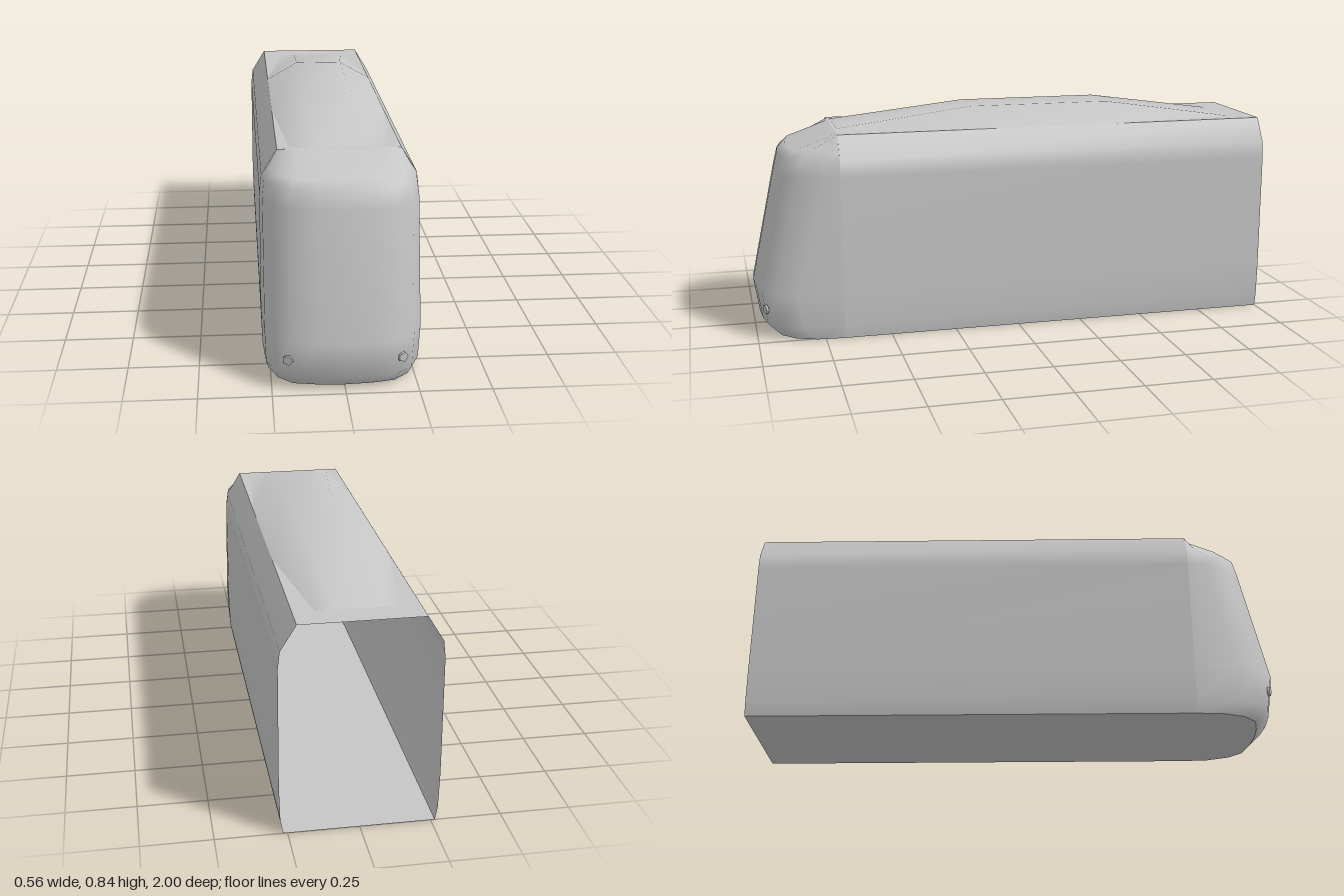
import * as THREE from 'three';

const grey = new THREE.MeshStandardMaterial({ color: 0xc6c6c6, side: THREE.DoubleSide });
grey.name = 'plain grey';

const BACK = -1, JOIN = 0.68;

// wall cross-section from floor to roof edge: height, half width, foremost z of the nose
const levels = [
  [0, 0.265, 0.93],
  [0.05, 0.274, 0.98],
  [0.18, 0.278, 1.0],
  [0.62, 0.277, 0.905],
  [0.68, 0.27, 0.89],
  [0.71, 0.25, 0.86],
];
const ROOF_Y = 0.77, ROOF_W = 0.215;

// half plan of the nose: fraction of half width, setback from its tip
const plan = [[0, 0], [0.35, 0.006], [0.66, 0.022], [0.85, 0.07], [0.97, 0.15]];

// smooth surface through rows of points; columns run right and rows run up as seen from outside
function loft(rows) {
  const n = rows[0].length, index = [];
  for (let r = 0; r < rows.length - 1; r++) {
    for (let c = 0; c < n - 1; c++) {
      const a = r * n + c, b = a + 1, d = a + n, e = d + 1;
      index.push(a, b, e, a, e, d);
    }
  }
  const g = new THREE.BufferGeometry();
  g.setAttribute('position', new THREE.Float32BufferAttribute(rows.flat(2), 3));
  g.setIndex(index);
  g.computeVertexNormals();
  return g;
}

// one level of the nose, running from the right wall round to the left wall
function noseRow([y, w, tip]) {
  const half = plan.map(([f, back]) => [f * w, y, tip - back]);
  half.push([w, y, JOIN]);
  const mirrored = half.slice(1).reverse().map(([x, yy, z]) => [-x, yy, z]);
  return [...mirrored, ...half];
}

export function createModel() {
  const model = new THREE.Group();
  const add = (name, geometry) => {
    const mesh = new THREE.Mesh(geometry, grey);
    mesh.name = name;
    model.add(mesh);
    return mesh;
  };

  // long side walls with rounded upper shoulders
  const section = levels.slice(0, 5).map(([y, w]) => [w, y]);
  section.push([ROOF_W, ROOF_Y]);
  for (const s of [1, -1]) {
    const ends = s > 0 ? [JOIN, BACK] : [BACK, JOIN];
    add(s > 0 ? 'leftWall' : 'rightWall',
      loft(section.map(([w, y]) => ends.map(z => [s * w, y, z]))));
  }

  // flat roof
  add('roof', loft([JOIN, BACK].map(z => [[-ROOF_W, ROOF_Y, z], [ROOF_W, ROOF_Y, z]])));

  // raised roof fairing: z, base half width, top half width, top height
  const fairing = [
    [0.67, 0.17, 0.08, 0.771],
    [0.15, 0.215, 0.092, 0.84],
    [-0.4, 0.215, 0.092, 0.84],
    [-0.9, 0.14, 0.08, 0.771],
  ];
  add('roofFairing', loft(fairing.map(([z, b, t, y]) =>
    [[-b, ROOF_Y, z], [-t, y, z], [t, y, z], [b, ROOF_Y, z]])));

  // rounded nose, closing on the front edge of the roof
  const rows = levels.map(noseRow);
  const brow = rows[0].map((p, i, all) => {
    const k = Math.max(-1, Math.min(1, p[0] / all[all.length - 2][0]));
    return [k * ROOF_W, ROOF_Y, JOIN];
  });
  add('nose', loft([...rows, brow]));

  // floor, following the plan of the nose
  const outline = [...rows[0], [0.265, 0, BACK], [-0.265, 0, BACK]];
  const floor = new THREE.ShapeGeometry(
    new THREE.Shape(outline.map(([x, , z]) => new THREE.Vector2(x, z))));
  floor.rotateX(Math.PI / 2);
  add('floor', floor);

  // small five-sided lamps low on the nose
  for (const s of [1, -1]) {
    const g = new THREE.CylinderGeometry(0.019, 0.019, 0.009, 5);
    g.rotateX(Math.PI / 2);
    const lamp = add(s > 0 ? 'leftLamp' : 'rightLamp', g);
    lamp.position.set(s * 0.195, 0.115, 0.966);
    lamp.rotation.set(0.1, s * 0.4, 0.3);
  }
  return model;
}
